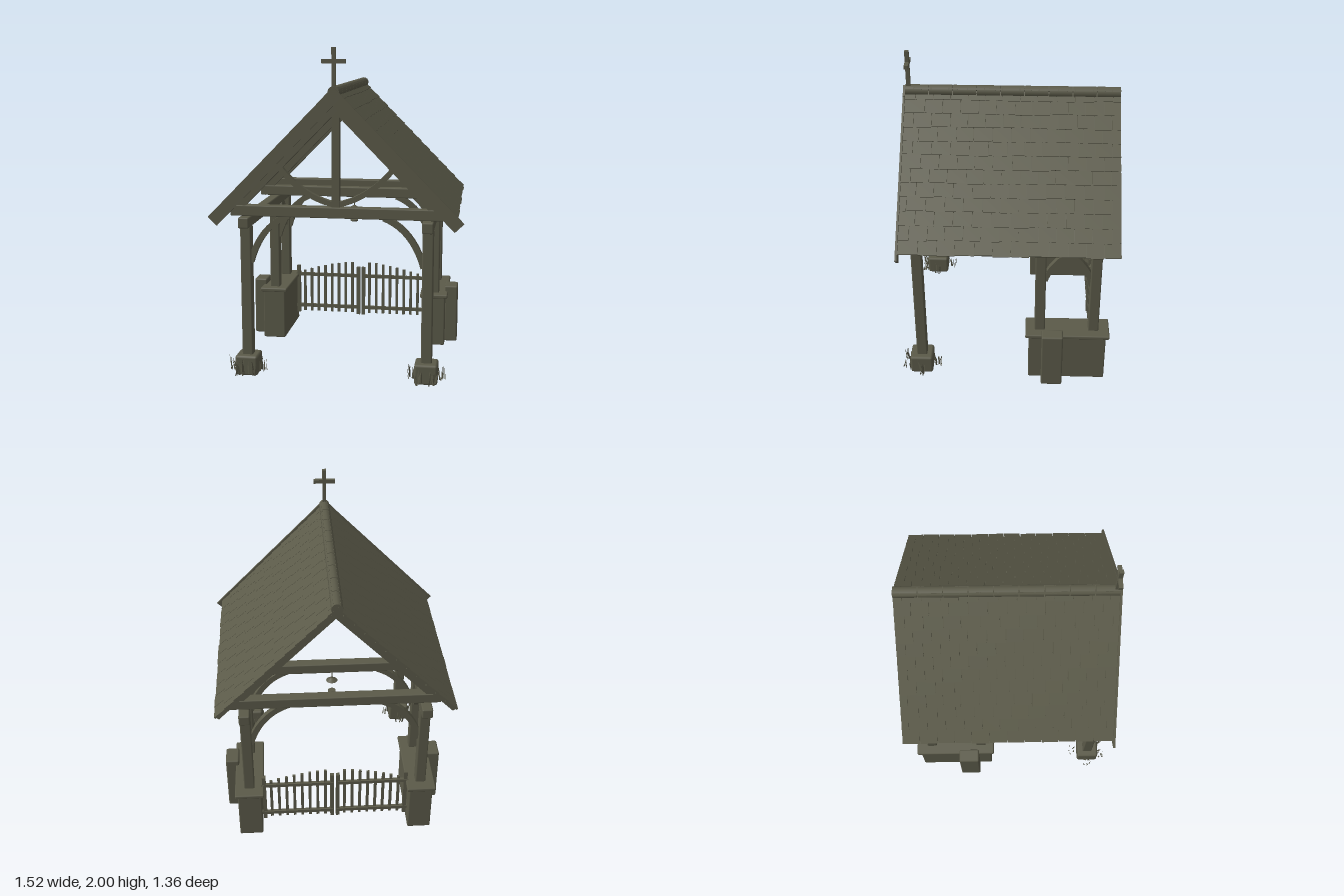
import * as THREE from 'three';
import { RoundedBoxGeometry } from 'three/addons/geometries/RoundedBoxGeometry.js';

const weathered = new THREE.MeshStandardMaterial({ color: 0x5b5a49, side: THREE.DoubleSide });
weathered.name = 'weathered olive grey';

let seed = 7;
const rand = () => (seed = (seed * 16807) % 2147483647) / 2147483647;

function add(parent, name, geometry, x = 0, y = 0, z = 0) {
  const mesh = new THREE.Mesh(geometry, weathered);
  mesh.name = name;
  mesh.position.set(x, y, z);
  parent.add(mesh);
  return mesh;
}

// Box given by its limits; bevel > 0 chamfers the edges
function block(parent, name, x0, x1, y0, y1, z0, z1, bevel = 0) {
  const w = x1 - x0, h = y1 - y0, d = z1 - z0;
  const geo = bevel ? new RoundedBoxGeometry(w, h, d, 1, bevel) : new THREE.BoxGeometry(w, h, d);
  return add(parent, name, geo, (x0 + x1) / 2, (y0 + y1) / 2, (z0 + z1) / 2);
}

// Curved timber: a quadratic curve thickened to a band and extruded
function brace(parent, name, a, b, c, width, depth) {
  const curve = new THREE.QuadraticBezierCurve(...[a, b, c].map(p => new THREE.Vector2(...p)));
  const outer = [], inner = [];
  for (let i = 0; i <= 10; i++) {
    const p = curve.getPoint(i / 10), t = curve.getTangent(i / 10);
    const n = new THREE.Vector2(-t.y, t.x).multiplyScalar(width / 2);
    outer.push(p.clone().add(n));
    inner.unshift(p.clone().sub(n));
  }
  const geo = new THREE.ExtrudeGeometry(new THREE.Shape([...outer, ...inner]), { depth, bevelEnabled: false });
  geo.translate(0, 0, -depth / 2);
  return add(parent, name, geo);
}

function grassTuft(parent, x, z) {
  const tuft = new THREE.Group();
  tuft.name = 'grassTuft';
  tuft.position.set(x, 0.02, z);
  for (let i = 0; i < 9; i++) {
    const h = 0.05 + rand() * 0.05;
    const lean = (rand() - 0.5) * 0.06;
    const blade = new THREE.Shape([[-0.005, 0], [0.005, 0], [0.006 + lean * 0.4, h * 0.6], [lean, h]]
      .map(p => new THREE.Vector2(...p)));
    const mesh = add(tuft, 'grassBlade', new THREE.ShapeGeometry(blade), (rand() - 0.5) * 0.05, 0, (rand() - 0.5) * 0.05);
    mesh.rotation.y = rand() * Math.PI;
  }
  parent.add(tuft);
}

export function createModel() {
  const model = new THREE.Group();
  model.name = 'lychgate';
  const trusses = [0.55, -0.21, -0.55];
  const APEX = 1.775, ANGLE = Math.atan(1.02);

  for (const s of [-1, 1]) {
    const side = new THREE.Group();
    side.name = s > 0 ? 'leftSide' : 'rightSide';
    model.add(side);
    const X = s * 0.55;

    // Posts, footing and wall plate
    for (const z of trusses) {
      block(side, 'post', X - 0.033, X + 0.033, z > 0 ? 0.12 : 0.35, 0.935, z - 0.033, z + 0.033, 0.008);
    }
    block(side, 'footingStone', X - 0.07, X + 0.07, 0.005, 0.13, 0.48, 0.625, 0.015);
    block(side, 'wallPlate', X - 0.033, X + 0.033, 0.93, 0.995, -0.65, 0.63, 0.008);

    // Low stone wall with coping and outer pier
    block(side, 'wall', X - 0.075, X + 0.075, 0, 0.335, -0.63, -0.14, 0.008);
    block(side, 'coping', X - 0.092, X + 0.092, 0.33, 0.356, -0.652, -0.12, 0.008);
    const pierX = s * 0.663;
    block(side, 'pier', pierX - 0.043, pierX + 0.043, 0.005, 0.392, -0.357, -0.223, 0.01);

    // Curved braces below the ties and between the rear posts
    for (const z of trusses) {
      brace(side, 'tieBrace', [s * 0.525, 0.71], [s * 0.46, 0.94], [s * 0.285, 1.005], 0.036, 0.036).position.z = z;
    }
    for (const [from, dir] of [[-0.235, -1], [-0.525, 1]]) {
      const b = brace(side, 'sideBrace', [-from, 0.73], [-from - dir * 0.035, 0.85], [-from - dir * 0.15, 0.94], 0.034, 0.036);
      b.rotation.y = Math.PI / 2;
      b.position.x = X;
    }

    // Grass round the front footing
    for (const [dx, z] of [[-0.09, 0.55], [0.09, 0.55], [-0.03, 0.65], [0.04, 0.65], [0, 0.45]]) {
      grassTuft(side, X + dx, z);
    }

    // Roof slope: local x runs down the slope, local y is the slope normal
    const slope = new THREE.Group();
    slope.name = 'roofSlope';
    slope.position.y = APEX;
    slope.rotation.z = -s * ANGLE;
    side.add(slope);
    const slab = (name, d0, d1, n0, n1, z0, z1) =>
      block(slope, name, Math.min(s * d0, s * d1), Math.max(s * d0, s * d1), -n1, -n0, z0, z1);

    slab('deck', 0.01, 1.04, 0.028, 0.045, -0.67, 0.635);
    slab('bargeBoard', 0, 1.086, 0, 0.075, 0.637, 0.65);
    for (const z of trusses) slab('rafter', 0.03, 0.985, 0.04, 0.108, z - 0.028, z + 0.028);

    // Overlapping tile courses
    const rows = 12, step = 1.045 / rows, width = 0.11;
    for (let r = 0; r < rows; r++) {
      let z = -0.68;
      let w = r % 2 ? width : width / 2;
      while (z < 0.638) {
        let end = Math.min(z + w + (rand() - 0.5) * 0.014, 0.64);
        if (0.64 - end < 0.03) end = 0.64;
        const tile = slab('roofTile', r * step - 0.012, (r + 1) * step + (rand() - 0.5) * 0.008,
          0.014, 0.026, z + 0.002, end - 0.002);
        tile.rotation.z = s * 0.07;
        z = end;
        w = width;
      }
    }
  }

  // Trusses: tie beams, and king post with curved struts at the front
  for (const z of trusses) block(model, 'tieBeam', -0.64, 0.64, 0.998, 1.063, z - 0.033, z + 0.033, 0.006);
  block(model, 'kingPost', -0.023, 0.023, 1.05, 1.66, 0.527, 0.573);
  for (const s of [-1, 1]) {
    brace(model, 'kingStrut', [0, 1.075], [s * 0.2, 1.115], [s * 0.345, 1.3], 0.032, 0.036).position.z = 0.55;
  }

  // Ridge tiles
  const count = 9, len = 1.32 / count;
  for (let i = 0; i < count; i++) {
    const geo = new THREE.CylinderGeometry(0.034, 0.034, len - 0.006, 12);
    geo.rotateX(Math.PI / 2);
    add(model, 'ridgeTile', geo, 0, 1.745, -0.68 + (i + 0.5) * len);
  }

  // Cross finial
  block(model, 'crossUpright', -0.012, 0.012, 1.75, 2, 0.605, 0.63);
  block(model, 'crossArm', -0.07, 0.07, 1.908, 1.932, 0.605, 0.63);

  // Hanging lantern under the middle tie
  add(model, 'lanternRod', new THREE.CylinderGeometry(0.003, 0.003, 0.08, 6), 0, 0.97, -0.21);
  add(model, 'lanternHood', new THREE.CylinderGeometry(0.008, 0.037, 0.018, 12), 0, 0.928, -0.21);
  add(model, 'lanternBase', new THREE.CylinderGeometry(0.025, 0.025, 0.01, 12), 0, 0.834, -0.21);

  // Pair of picket gates with arched tops
  for (const s of [-1, 1]) {
    const gate = new THREE.Group();
    gate.name = 'gate';
    gate.position.z = -0.55;
    model.add(gate);
    const upright = (name, x, y0, y1, w, d) => block(gate, name, s * x - w / 2, s * x + w / 2, y0, y1, -d / 2, d / 2);
    upright('stile', 0.018, 0.068, 0.42, 0.024, 0.024);
    upright('stile', 0.457, 0.068, 0.42, 0.024, 0.024);
    for (let i = 0; i < 8; i++) {
      upright('picket', 0.062 + i * 0.05, 0.08, 0.455 - 0.07 * Math.pow(i / 7, 1.5), 0.018, 0.014);
    }
    for (const y of [0.118, 0.353]) {
      const rail = block(gate, 'rail', 0.01, 0.475, y - 0.011, y + 0.011, -0.016, 0.004);
      rail.position.x *= s;
    }
  }
  return model;
}
